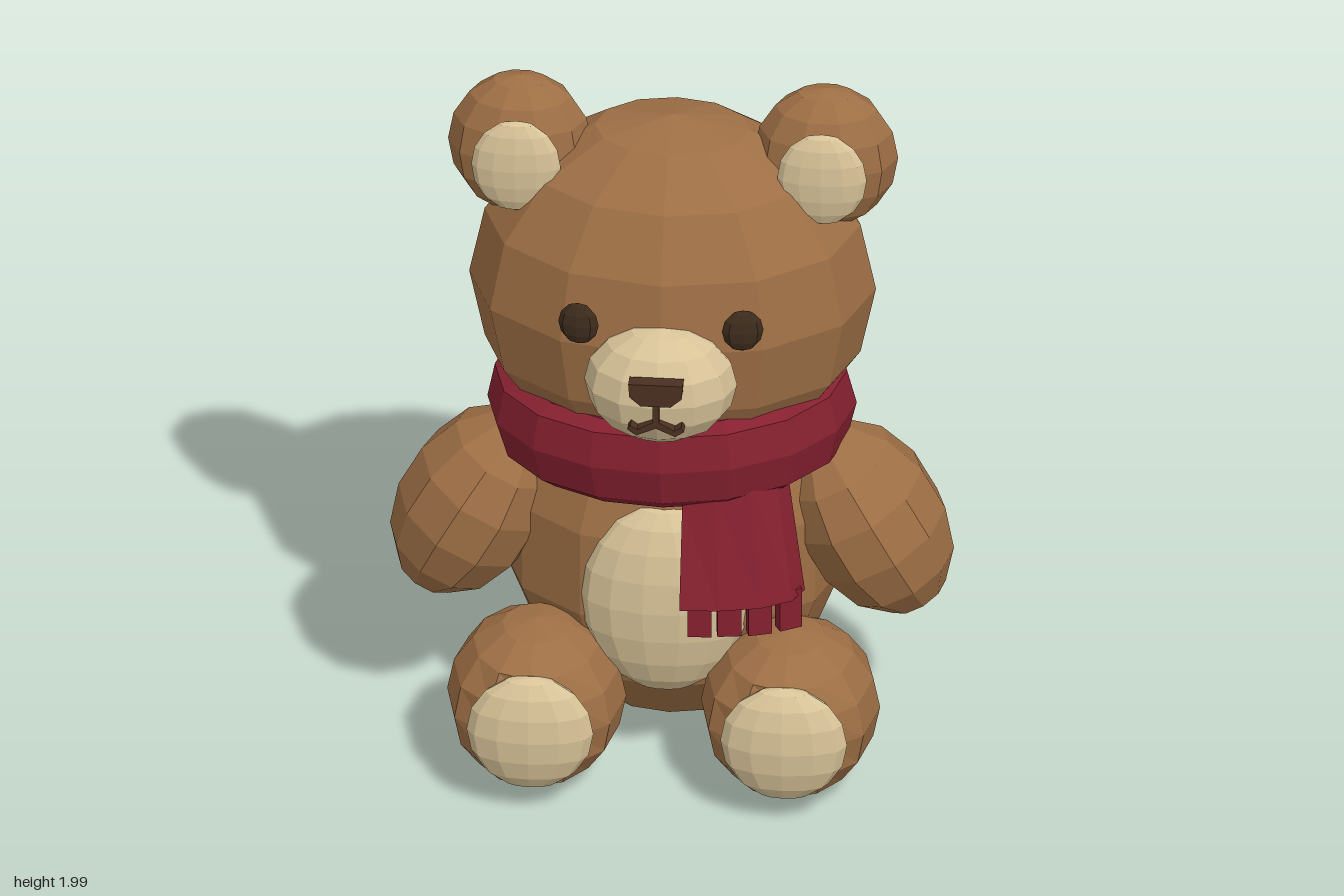
import * as THREE from 'three';

const mat = (name, color) => {
  const m = new THREE.MeshStandardMaterial({ color });
  m.name = name;
  return m;
};

// split faces so every facet is flat
function facet(geo) {
  const g = geo.index ? geo.toNonIndexed() : geo;
  g.computeVertexNormals();
  return g;
}

// move each vertex of a geometry by a rule
function warp(geo, rule) {
  const p = geo.attributes.position;
  const v = new THREE.Vector3();
  for (let i = 0; i < p.count; i++) {
    v.fromBufferAttribute(p, i);
    rule(v);
    p.setXYZ(i, v.x, v.y, v.z);
  }
  return geo;
}

export function createModel() {
  const fur = mat('brown fur', 0x9e6f45);
  const cream = mat('cream', 0xd8c398);
  const red = mat('dark red wool', 0x85202f);
  const eyeDark = mat('dark eye', 0x3c2b1c);
  const noseDark = mat('dark nose', 0x4b3021);

  const bear = new THREE.Group();
  bear.name = 'teddyBear';

  const add = (name, geo, material, pos = [0, 0, 0], rot = [0, 0, 0]) => {
    const m = new THREE.Mesh(facet(geo), material);
    m.name = name;
    m.position.set(...pos);
    m.rotation.set(...rot);
    bear.add(m);
    return m;
  };
  const ball = (r, w = 12, h = 8) => new THREE.SphereGeometry(1, w, h).scale(...r);

  // torso, belly patch and head
  add('body', ball([0.465, 0.565, 0.355], 12, 7), fur, [0, 0.605, -0.13]);
  add('bellyPatch', ball([0.225, 0.29, 0.105], 14, 10), cream, [0, 0.55, 0.165]);
  add('head', ball([0.545, 0.52, 0.39]), fur, [0, 1.385, -0.09]);

  // muzzle, nose and mouth
  add('muzzle', ball([0.205, 0.17, 0.145]), cream, [0, 1.297, 0.285]);
  const plate = (pts, depth) => new THREE.ExtrudeGeometry(
    new THREE.Shape(pts.map(([x, y]) => new THREE.Vector2(x, y))), { depth, bevelEnabled: false });
  add('nose', plate([[-0.073, 1.385], [-0.07, 1.345], [-0.04, 1.318], [0.04, 1.318],
    [0.07, 1.345], [0.073, 1.385]], 0.04), noseDark, [0, 0, 0.41]);
  add('mouth', plate([[-0.009, 1.32], [-0.009, 1.262], [-0.05, 1.238], [-0.068, 1.25],
    [-0.076, 1.237], [-0.052, 1.22], [0, 1.244], [0.052, 1.22], [0.076, 1.237],
    [0.068, 1.25], [0.05, 1.238], [0.009, 1.262], [0.009, 1.32]], 0.04), noseDark, [0, 0, 0.4]);

  // paired parts, s = +1 is the bear's left
  for (const [side, s] of [['left', 1], ['right', -1]]) {
    add(side + 'Eye', ball([0.056, 0.06, 0.026], 8, 6), eyeDark,
      [s * 0.22, 1.47, 0.288], [-0.08, s * 0.2, 0]);
    add(side + 'Ear', ball([0.193, 0.21, 0.128], 10, 8), fur, [s * 0.41, 1.79, -0.105]);
    add(side + 'InnerEar', ball([0.12, 0.14, 0.04], 12, 8), cream, [s * 0.41, 1.793, 0.025]);
    add(side + 'Arm', ball([0.2, 0.295, 0.218], 10, 7), fur, [s * 0.53, 0.682, -0.07], [0, 0, s * 0.5]);

    // leg: a ball stretched forward and cut flat at the sole
    const leg = warp(new THREE.SphereGeometry(1, 12, 8), (v) => {
      v.set(v.x * 0.24, v.y * 0.236, v.z > 0 ? Math.min(v.z * 0.3, 0.22) : v.z * 0.26);
    });
    add(side + 'Leg', leg, fur, [s * 0.34, 0.245, 0.19]);
    add(side + 'FootPad', ball([0.17, 0.172, 0.07], 12, 8), cream, [s * 0.34, 0.253, 0.405]);
  }

  // scarf loop around the neck
  const band = [[0.36, -0.14], [0.42, -0.135], [0.467, -0.1], [0.495, 0.005], [0.472, 0.105],
    [0.42, 0.125], [0.36, 0.11], [0.36, -0.14]].map(([x, y]) => new THREE.Vector2(x, y));
  add('scarfLoop', new THREE.LatheGeometry(band, 16).scale(1, 1, 0.778), red,
    [0, 1.015, -0.075], [0, 0, 0.03]);

  // hanging scarf end: a curved panel leaning back towards the neck
  const section = [[0.055, 0.345], [0.16, 0.338], [0.27, 0.315], [0.35, 0.27], [0.38, 0.21],
    [0.33, 0.2], [0.25, 0.245], [0.16, 0.27], [0.055, 0.28]].map(([x, z]) => [x, -z]);
  const tail = warp(plate(section, 1).rotateX(-Math.PI / 2), (v) => {
    const t = v.y;
    const top = 0.89 + 0.37 * (Math.min(v.x, 0.31) - 0.06) - Math.max(0, v.x - 0.31) * 0.6;
    v.y = 0.615 + t * (top - 0.615);
    v.x -= t * (v.x - 0.055) * 0.17;
    v.z -= t * 0.09;
  });
  add('scarfTail', tail, red);

  // fringe
  [[0.105, 0.295, 0.05], [0.183, 0.285, 0.15], [0.262, 0.27, 0.3], [0.338, 0.235, 0.5]]
    .forEach(([x, z, turn], i) => add('scarfFringe' + (i + 1),
      new THREE.BoxGeometry(0.064, 0.12, 0.035), red, [x, 0.575, z], [0, turn, 0]));

  return bear;
}
